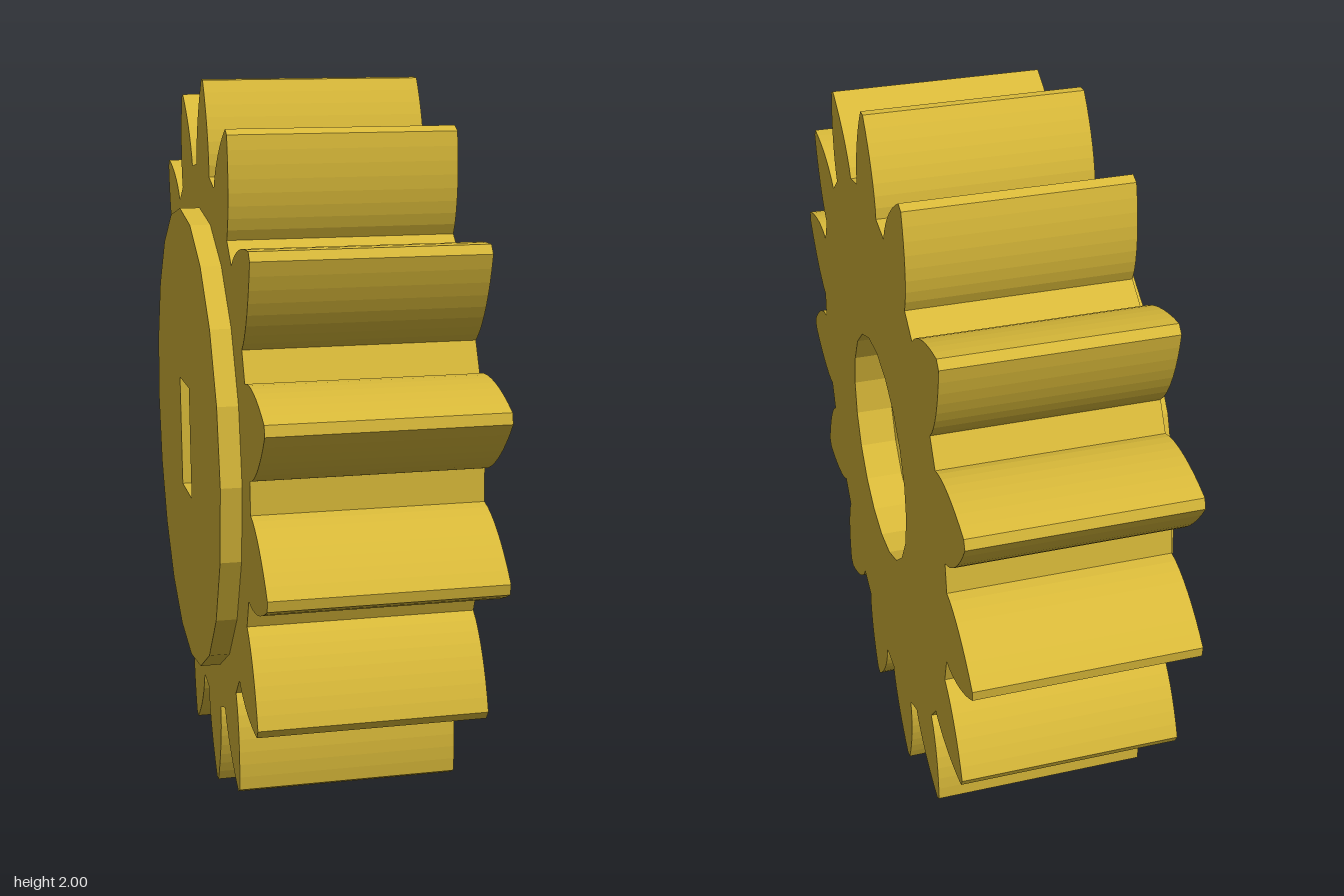
import * as THREE from 'three';

const TEETH = 15, SIDES = 20;
const ROOT = 0.77, TIP = 1.004, HALF_TOOTH = 0.154;
const BORE = 0.327, BOSS = 0.65;
const BACK = -0.325, GEAR_BACK = -0.27, TAPER_BACK = 0.08, TAPER_FRONT = 0.215, FRONT = 0.322;

const polar = (r, a) => new THREE.Vector2(r * Math.cos(a), r * Math.sin(a));
const circle = (r) => Array.from({ length: SIDES }, (_, k) => polar(r, (k / SIDES) * Math.PI * 2));
const slot = [[1, 1], [-1, 1], [-1, -1], [1, -1]].map(([x, y]) => new THREE.Vector2(x * 0.095, y * 0.158));

// Toothed outline with involute flanks rising from the root circle
function gearOutline() {
  const points = [], steps = 8;
  const halfAngle = (r) => HALF_TOOTH - (Math.sqrt((r / ROOT) ** 2 - 1) - Math.acos(ROOT / r));
  for (let t = 0; t < TEETH; t++) {
    const mid = (t / TEETH) * Math.PI * 2;
    for (const side of [-1, 1]) {
      for (let i = 0; i <= steps; i++) {
        const f = (side < 0 ? i : steps - i) / steps;
        const r = ROOT + (TIP - ROOT) * f;
        points.push(polar(r, mid + side * halfAngle(r)));
      }
    }
  }
  return points;
}

// Flat plate with one hole, extruded along the axle
function plate(outline, hole, from, to) {
  const shape = new THREE.Shape(outline);
  shape.holes.push(new THREE.Path(hole));
  const geometry = new THREE.ExtrudeGeometry(shape, { depth: to - from, bevelEnabled: false });
  return geometry.translate(0, 0, from);
}

// Bore narrowing from the round opening to the rectangular slot, then running straight back
function taperedSocket() {
  const positions = [];
  const tri = (...corners) => corners.forEach(([p, z]) => positions.push(p.x, p.y, z));
  const rim = circle(BORE), perQuarter = SIDES / 4;
  for (let q = 0; q < 4; q++) {
    const a = slot[q], b = slot[(q + 1) % 4];
    for (let i = 0; i < perQuarter; i++) {
      const k = q * perQuarter + i;
      tri([rim[k], TAPER_FRONT], [rim[(k + 1) % SIDES], TAPER_FRONT], [a, TAPER_BACK]);
    }
    const joint = rim[((q + 1) * perQuarter) % SIDES];
    tri([joint, TAPER_FRONT], [b, TAPER_BACK], [a, TAPER_BACK]);
    tri([a, TAPER_BACK], [b, TAPER_BACK], [b, GEAR_BACK]);
    tri([a, TAPER_BACK], [b, GEAR_BACK], [a, GEAR_BACK]);
  }
  const geometry = new THREE.BufferGeometry();
  geometry.setAttribute('position', new THREE.Float32BufferAttribute(positions, 3));
  geometry.computeVertexNormals();
  return geometry;
}

export function createModel() {
  const model = new THREE.Group();
  model.name = 'spurGear';
  const yellow = new THREE.MeshStandardMaterial({ color: 0xdcbc3a });
  yellow.name = 'yellow';

  const add = (name, geometry) => {
    const mesh = new THREE.Mesh(geometry, yellow);
    mesh.name = name;
    wheel.add(mesh);
  };

  // Built along z, then turned so the axle lies along x
  const wheel = new THREE.Group();
  wheel.name = 'wheel';
  wheel.rotation.set(0, Math.PI / 2, THREE.MathUtils.degToRad(-3.6));
  wheel.position.set(0, 0.995, 0.003);
  model.add(wheel);

  add('toothedBody', plate(gearOutline(), circle(BORE), GEAR_BACK, FRONT));
  add('backBoss', plate(circle(BOSS), slot, BACK, GEAR_BACK));
  add('taperedSocket', taperedSocket());
  return model;
}
